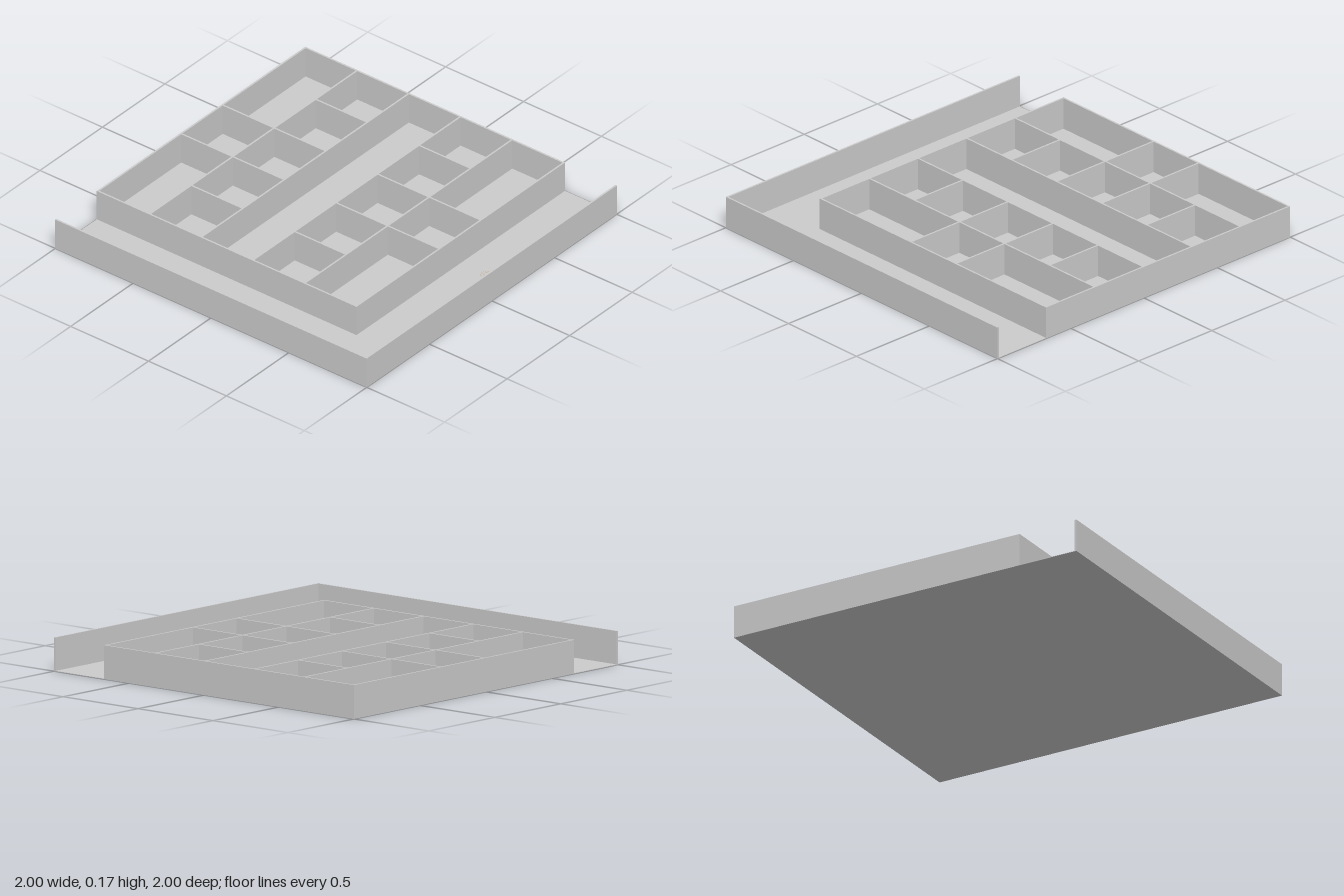
import * as THREE from 'three';

const CELL = 0.3317; // spacing of the 6 x 6 room grid
const T = 0.01; // wall thickness
const H = 0.173; // wall height
const FLOOR = 0.003;

export function createModel() {
  const model = new THREE.Group();
  const grey = new THREE.MeshStandardMaterial({ color: 0xcccccc });
  const tan = new THREE.MeshStandardMaterial({ color: 0xc8a070, side: THREE.DoubleSide });

  function box(name, w, h, d, x, y, z) {
    const mesh = new THREE.Mesh(new THREE.BoxGeometry(w, h, d), grey);
    mesh.name = name;
    mesh.position.set(x, y, z);
    model.add(mesh);
  }

  // Walls are given in grid units, from -3 to 3
  function wallAlongX(name, z, x0, x1) {
    box(name, (x1 - x0) * CELL + T, H, T, (x0 + x1) / 2 * CELL, H / 2, z * CELL);
  }
  function wallAlongZ(name, x, z0, z1, trim = T) {
    box(name, T, H, (z1 - z0) * CELL + trim, x * CELL, H / 2, (z0 + z1) / 2 * CELL);
  }

  box('floor', 2, FLOOR, 2, 0, FLOOR / 2, 0);

  // Outer corridor walls, open at the back and at the left end
  wallAlongX('corridorFrontWall', 3, -3, 3);
  wallAlongZ('corridorSideWall', -3, -3, 3, -T);
  model.children.at(-1).position.z -= T / 2;
  model.children.at(-1).scale.z = (6 * CELL) / (6 * CELL - T);

  // Room block: long walls, then its two sides
  for (let z = -3; z <= 2; z++) wallAlongX('roomLongWall', z, -2, 3);
  for (const x of [-2, 3]) wallAlongZ('roomSideWall', x, -3, 2);

  // Partitions between the long walls, row by row from the back
  const rows = [[0, 1], [-1, 0, 1, 2], [], [-1, 0, 1, 2], [0, 1]];
  rows.forEach((row, i) => {
    for (const x of row) wallAlongZ('partition', x, i - 3, i - 2, -T);
  });

  // Small oval floor marks in the middle of each corridor
  for (const [x, z, turn] of [[-0.83, -0.165, Math.PI / 2], [0.165, 0.83, 0]]) {
    const mark = new THREE.Group();
    mark.name = 'floorMark';
    for (const r of [0.03, 0.014]) {
      const ring = new THREE.Mesh(new THREE.RingGeometry(r - 0.002, r, 24), tan);
      ring.name = 'markRing';
      ring.rotation.x = -Math.PI / 2;
      ring.scale.y = 0.8;
      mark.add(ring);
    }
    mark.position.set(x, FLOOR + 0.001, z);
    mark.rotation.y = turn;
    model.add(mark);
  }
  return model;
}
